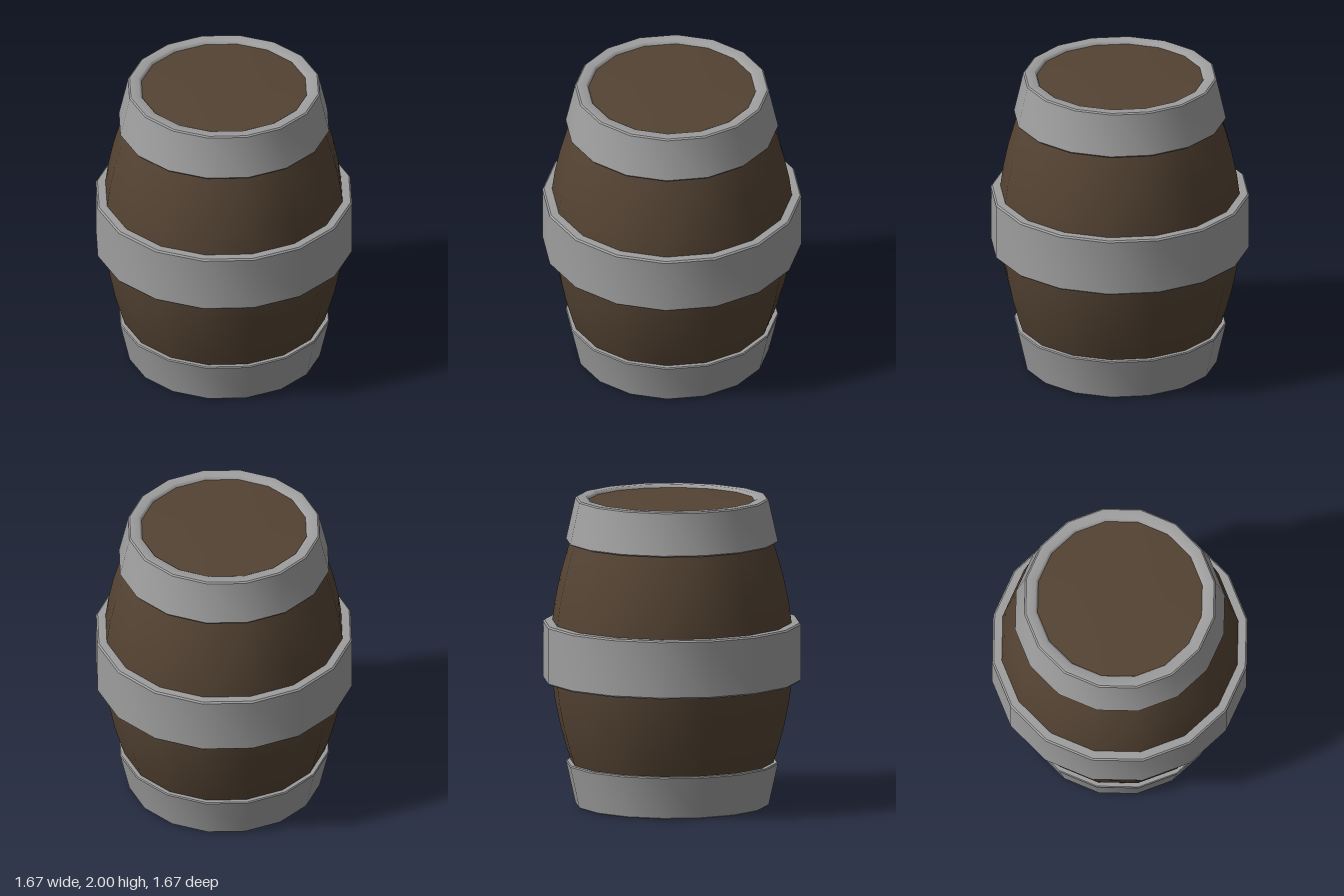
import * as THREE from 'three';
import { toCreasedNormals } from 'three/addons/utils/BufferGeometryUtils.js';

const SIDES = 16;

export function createModel() {
  const barrel = new THREE.Group();
  barrel.name = 'barrel';
  const wood = new THREE.MeshStandardMaterial({ name: 'dark wood', color: 0x544333 });
  const iron = new THREE.MeshStandardMaterial({ name: 'grey iron', color: 0x9e9e9e });

  // Sixteen-sided turned part from [radius, height] pairs, listed bottom to top on the outside
  function turned(name, profile, material) {
    const points = profile.map(([r, y]) => new THREE.Vector2(r, y));
    const geometry = toCreasedNormals(new THREE.LatheGeometry(points, SIDES), Math.PI / 5);
    const mesh = new THREE.Mesh(geometry, material);
    mesh.name = name;
    barrel.add(mesh);
  }

  // Bulging staves, with slightly domed ends
  const staves = [];
  for (let i = 0; i <= 12; i++) {
    const t = i / 6 - 1;
    staves.push([0.785 - 0.235 * Math.pow(Math.abs(t), 1.9), 1 + 0.98 * t]);
  }
  turned('staves', staves, wood);
  turned('bottomLid', [[0, 0.002], [0.3, 0.008], [0.56, 0.02]], wood);
  turned('topLid', [[0.56, 1.98], [0.3, 1.992], [0, 1.998]], wood);

  // Straight middle hoop with softened edges
  turned('middleHoop', [
    [0.73, 0.815], [0.825, 0.815], [0.835, 0.825],
    [0.835, 1.185], [0.825, 1.195], [0.73, 1.195], [0.73, 0.815],
  ], iron);

  // Tapered end hoops, mirrored top and bottom
  const endHoop = [
    [0.535, 0.025], [0.545, 0.006], [0.555, 0], [0.615, 0], [0.625, 0.008],
    [0.685, 0.275], [0.68, 0.283], [0.6, 0.283], [0.535, 0.025],
  ];
  turned('bottomHoop', endHoop, iron);
  turned('topHoop', endHoop.map(([r, y]) => [r, 2 - y]).reverse(), iron);

  return barrel;
}
